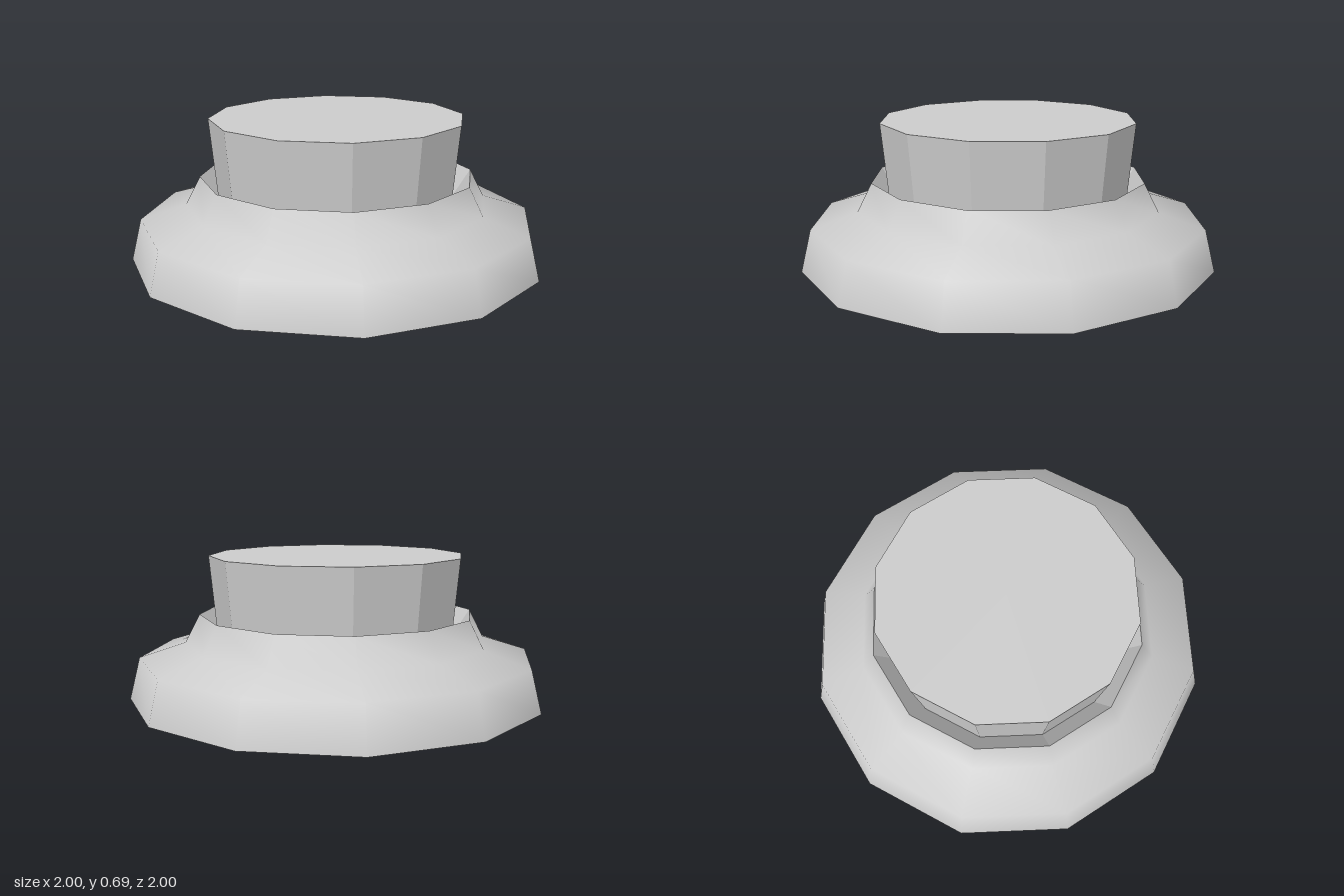
import * as THREE from 'three';

const SIDES = 12;

export function createModel() {
  const group = new THREE.Group();
  const smooth = new THREE.MeshStandardMaterial({ color: 0xcccccc });
  const flat = new THREE.MeshStandardMaterial({ color: 0xcccccc, flatShading: true });

  const add = (name, geometry, material) => {
    const mesh = new THREE.Mesh(geometry, material);
    mesh.name = name;
    group.add(mesh);
    return mesh;
  };
  const lathe = (points) =>
    new THREE.LatheGeometry(points.map(([r, y]) => new THREE.Vector2(r, y)), SIDES);

  // Flared, smooth-shaded skirt
  add('baseSkirt', lathe([[1, 0], [0.95, 0.2], [0.73, 0.27], [0.66, 0.405]]), smooth);

  // Flat underside
  add('baseBottom', new THREE.CircleGeometry(1, SIDES).rotateX(Math.PI / 2), flat);

  // Groove wall sloping from the rim down to the foot of the button
  add('rimGroove', lathe([[0.66, 0.405], [0.573, 0.27]]), flat);

  // Faceted button, slightly wider at the top
  const buttonHeight = 0.685 - 0.27;
  const button = add('button', new THREE.CylinderGeometry(0.612, 0.573, buttonHeight, SIDES), flat);
  button.position.y = 0.27 + buttonHeight / 2;

  return group;
}
